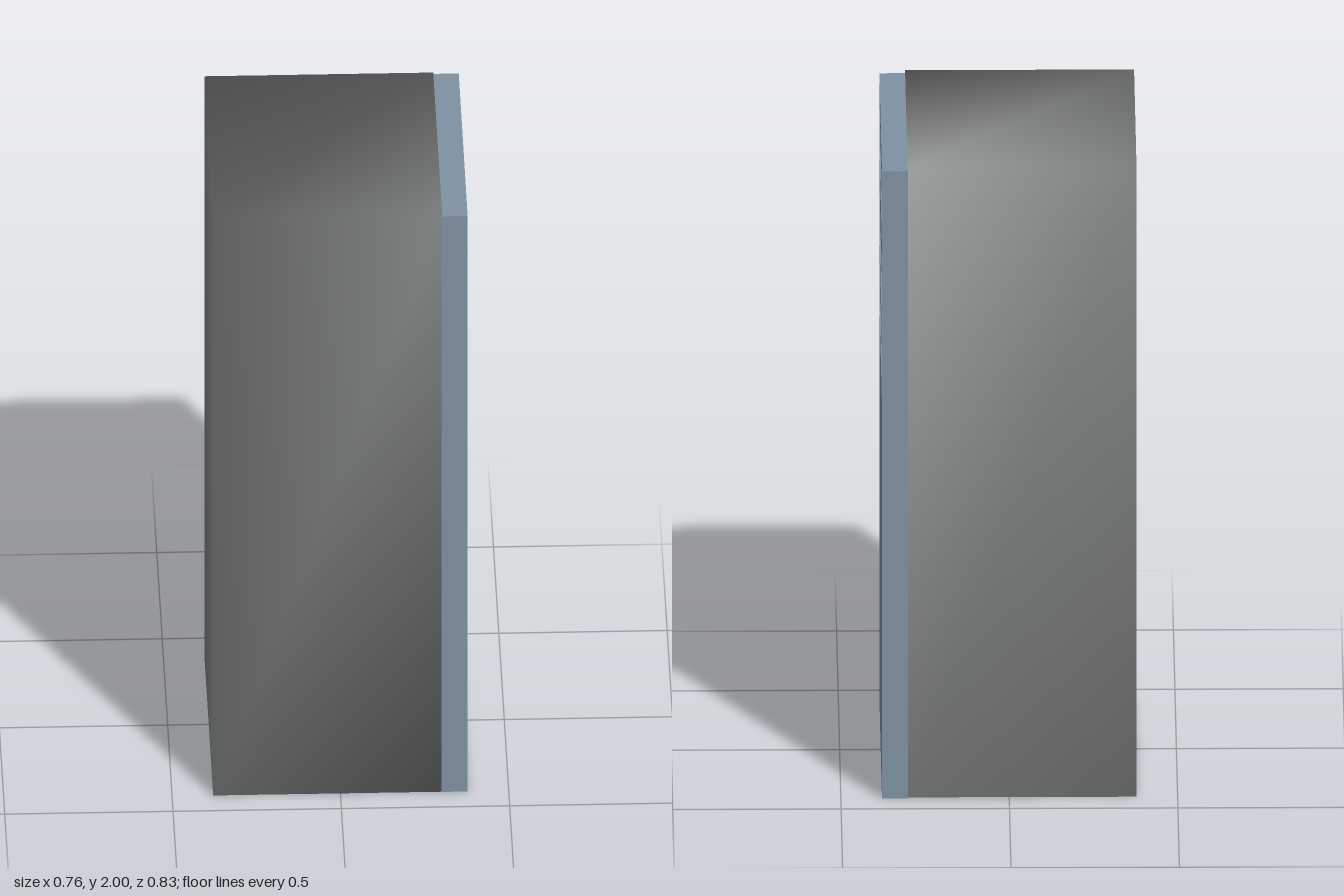
import * as THREE from 'three';
import { mergeVertices } from 'three/addons/utils/BufferGeometryUtils.js';

// Counter-clockwise rectangle outline
const rect = (path, x0, y0, x1, y1) => {
  path.moveTo(x0, y0);
  path.lineTo(x1, y0);
  path.lineTo(x1, y1);
  path.lineTo(x0, y1);
  path.closePath();
  return path;
};

export function createModel() {
  const model = new THREE.Group();
  model.name = 'slottedCabinet';

  // Thin hollow cabinet, open on the +x side, with soft shared normals
  const box = new THREE.BoxGeometry(0.68, 2, 0.816);
  box.setIndex(Array.from(box.index.array).slice(6)); // drop the +x face
  box.clearGroups();
  box.deleteAttribute('normal');
  box.deleteAttribute('uv');
  const shell = mergeVertices(box);
  shell.computeVertexNormals();
  const cabinet = new THREE.Mesh(
    shell,
    new THREE.MeshStandardMaterial({ color: 0x7e8280, side: THREE.DoubleSide })
  );
  cabinet.name = 'cabinetShell';
  cabinet.position.set(-0.038, 1, 0.004);
  model.add(cabinet);

  // Thick side panel with three long slots, drawn in (-z, y) and extruded along x
  const outline = rect(new THREE.Shape(), -0.413, 0, 0.413, 1.99);
  for (const [low, high] of [[1.255, 1.42], [1.48, 1.645], [1.75, 1.91]]) {
    outline.holes.push(rect(new THREE.Path(), -0.36, low, 0.37, high));
  }
  const panelGeometry = new THREE.ExtrudeGeometry(outline, { depth: 0.078, bevelEnabled: false });
  panelGeometry.rotateY(Math.PI / 2);
  const panel = new THREE.Mesh(
    panelGeometry,
    new THREE.MeshStandardMaterial({ color: 0x7f93a3 })
  );
  panel.name = 'slottedPanel';
  panel.position.x = 0.3;
  model.add(panel);

  return model;
}
